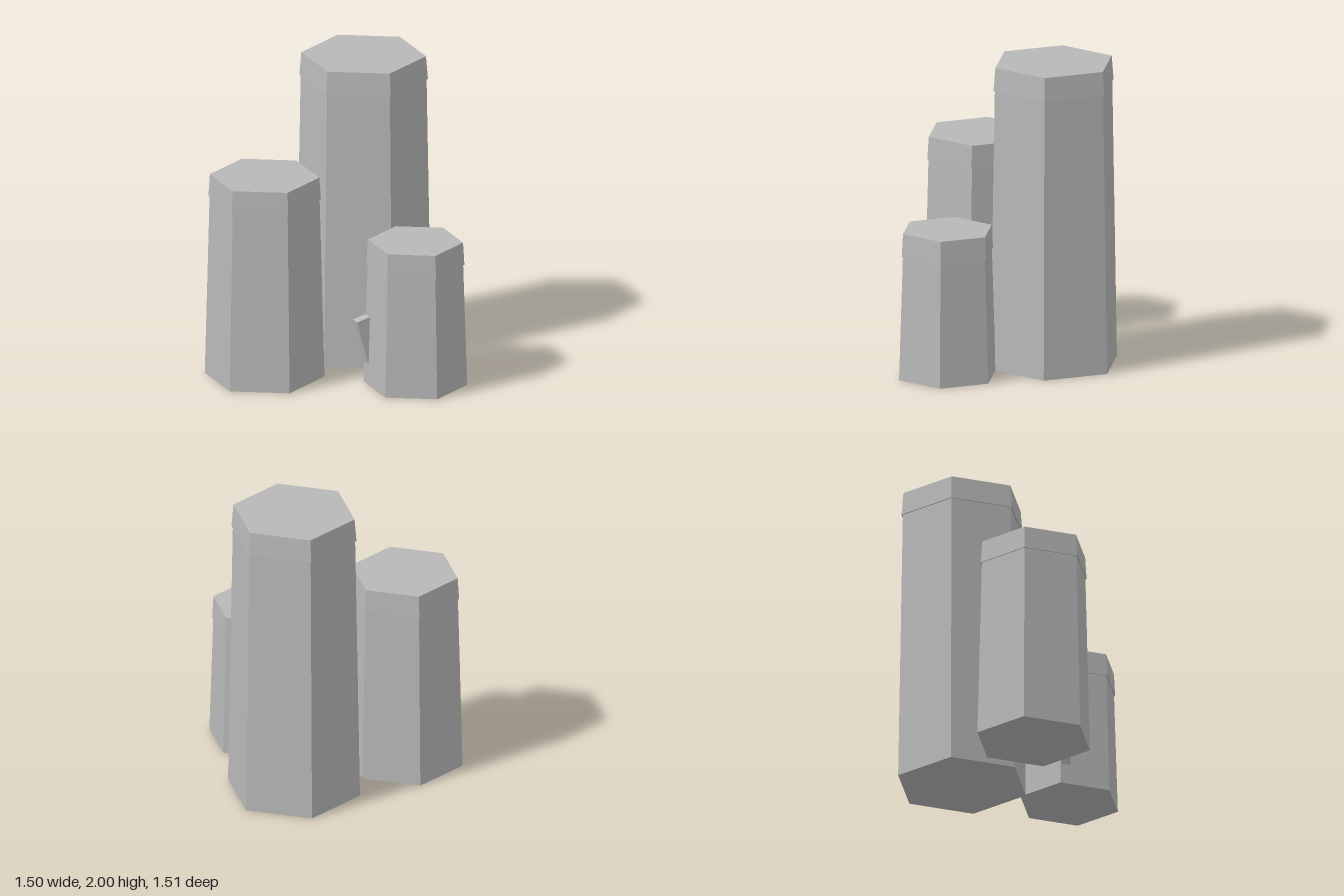
import * as THREE from 'three';

const stone = new THREE.MeshStandardMaterial({ color: 0xb8b8b8, flatShading: true });
stone.name = 'grey stone';

// Six-sided frustum with a corner towards the front, standing on y
function hexPrism(name, topRadius, bottomRadius, y, height) {
  const geometry = new THREE.CylinderGeometry(topRadius, bottomRadius, height, 6);
  const mesh = new THREE.Mesh(geometry, stone);
  mesh.name = name;
  mesh.position.y = y + height / 2;
  return mesh;
}

// Tapered shaft with a slightly overhanging cap
function column({ name, x, z, base, neck, capBase, capTop, capY, height }) {
  const group = new THREE.Group();
  group.name = name;
  group.position.set(x, 0, z);
  group.add(
    hexPrism('shaft', neck, base, 0, capY),
    hexPrism('cap', capTop, capBase, capY, height - capY)
  );
  return group;
}

export function createModel() {
  const model = new THREE.Group();
  model.name = 'stoneColumns';

  const columns = [
    { name: 'tallColumn', x: 0.37, z: -0.32, base: 0.437, neck: 0.405, capBase: 0.414, capTop: 0.401, capY: 1.845, height: 2 },
    { name: 'middleColumn', x: -0.417, z: -0.125, base: 0.385, neck: 0.354, capBase: 0.362, capTop: 0.352, capY: 1.205, height: 1.355 },
    { name: 'shortColumn', x: 0.395, z: 0.422, base: 0.333, neck: 0.307, capBase: 0.315, capTop: 0.306, capY: 0.815, height: 0.968 }
  ];
  columns.forEach((c) => model.add(column(c)));

  // Tilted chip of rock set into the side of the short column
  const chip = new THREE.Mesh(new THREE.BoxGeometry(0.1, 0.4, 0.065), stone);
  chip.name = 'rockChip';
  chip.position.set(0.13, 0.255, 0.29);
  chip.rotation.z = 0.26;
  model.add(chip);

  return model;
}
